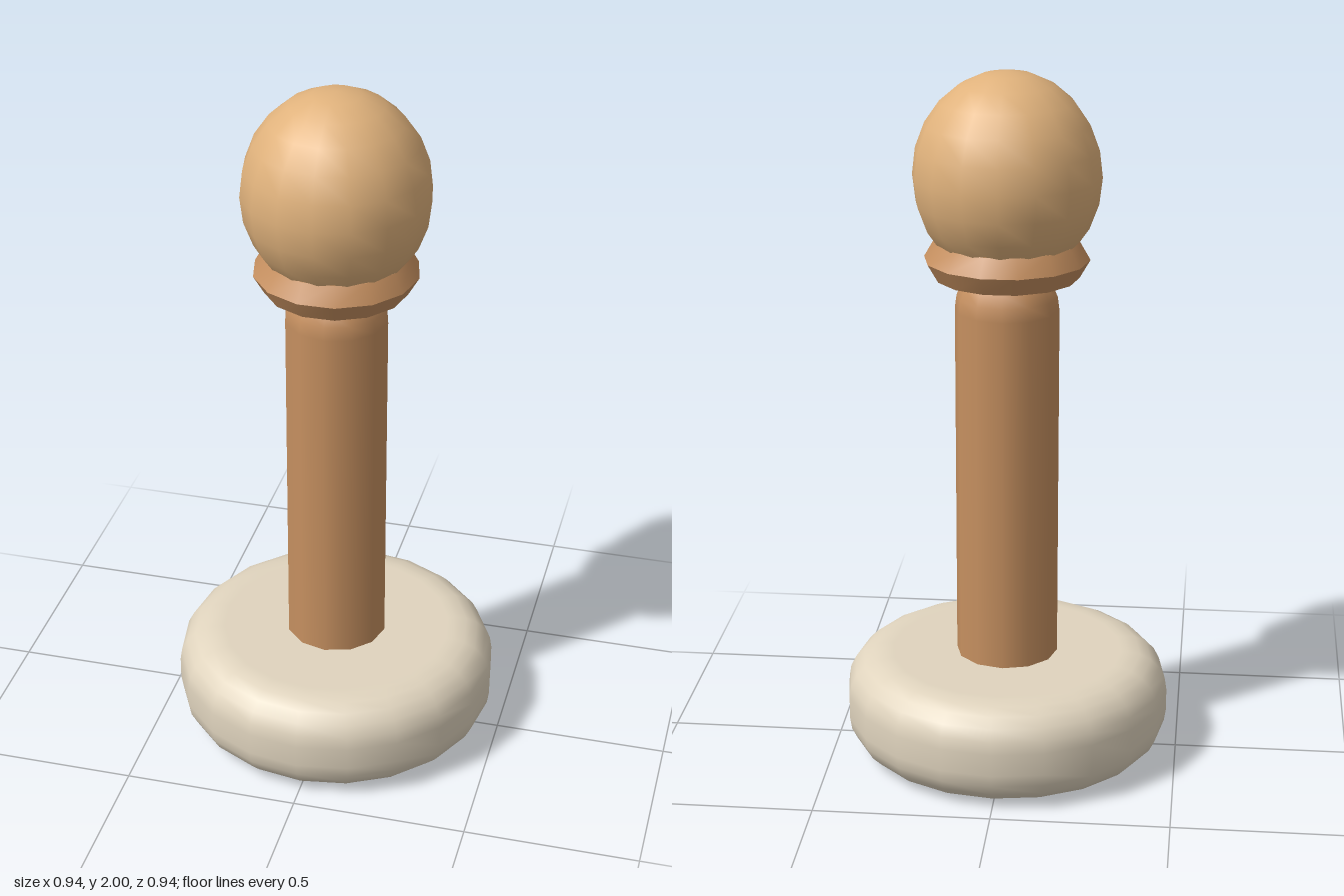
import * as THREE from 'three';
import { toCreasedNormals } from 'three/addons/utils/BufferGeometryUtils.js';

export function createModel() {
  const model = new THREE.Group();
  const material = (name, color) => {
    const m = new THREE.MeshStandardMaterial({ color });
    m.name = name;
    return m;
  };
  const paleStone = material('pale stone', 0xe0d4be);
  const wood = material('wood', 0xc69060);
  const lightWood = material('light wood', 0xe0b27c);

  const add = (name, geometry, mat, y) => {
    const mesh = new THREE.Mesh(geometry, mat);
    mesh.name = name;
    mesh.position.y = y;
    model.add(mesh);
    return mesh;
  };

  // Rounded disc base: flat bottom and top joined by two quarter-round edges
  const radius = 0.47, height = 0.295, round = 0.115, steps = 5;
  const profile = [new THREE.Vector2(0, 0), new THREE.Vector2(radius - round - 0.02, 0)];
  for (const [centreY, start] of [[round, -Math.PI / 2], [height - round, 0]]) {
    for (let i = 0; i <= steps; i++) {
      const a = start + (i / steps) * Math.PI / 2;
      profile.push(new THREE.Vector2(
        radius - round + Math.cos(a) * round, centreY + Math.sin(a) * round));
    }
  }
  profile.push(new THREE.Vector2(radius - round - 0.02, height), new THREE.Vector2(0, height));
  add('base', new THREE.LatheGeometry(profile, 20), paleStone, 0);

  // Shaft with a domed top, its lower end sunk into the base
  const shaftRadius = 0.147, domeCentre = 1.33, footCentre = 0.2;
  add('shaft',
    new THREE.CapsuleGeometry(shaftRadius, domeCentre - footCentre, 6, 12),
    wood, (domeCentre + footCentre) / 2);

  // Hexagonal-section collar with crisp edges
  const collar = new THREE.TorusGeometry(0.172, 0.06, 6, 14).rotateX(Math.PI / 2);
  add('collar', toCreasedNormals(collar, 0.6), wood, 1.477);

  // Slightly tall round head
  const head = new THREE.SphereGeometry(1, 16, 12).scale(0.263, 0.29, 0.263);
  add('head', head, lightWood, 1.71);

  return model;
}
